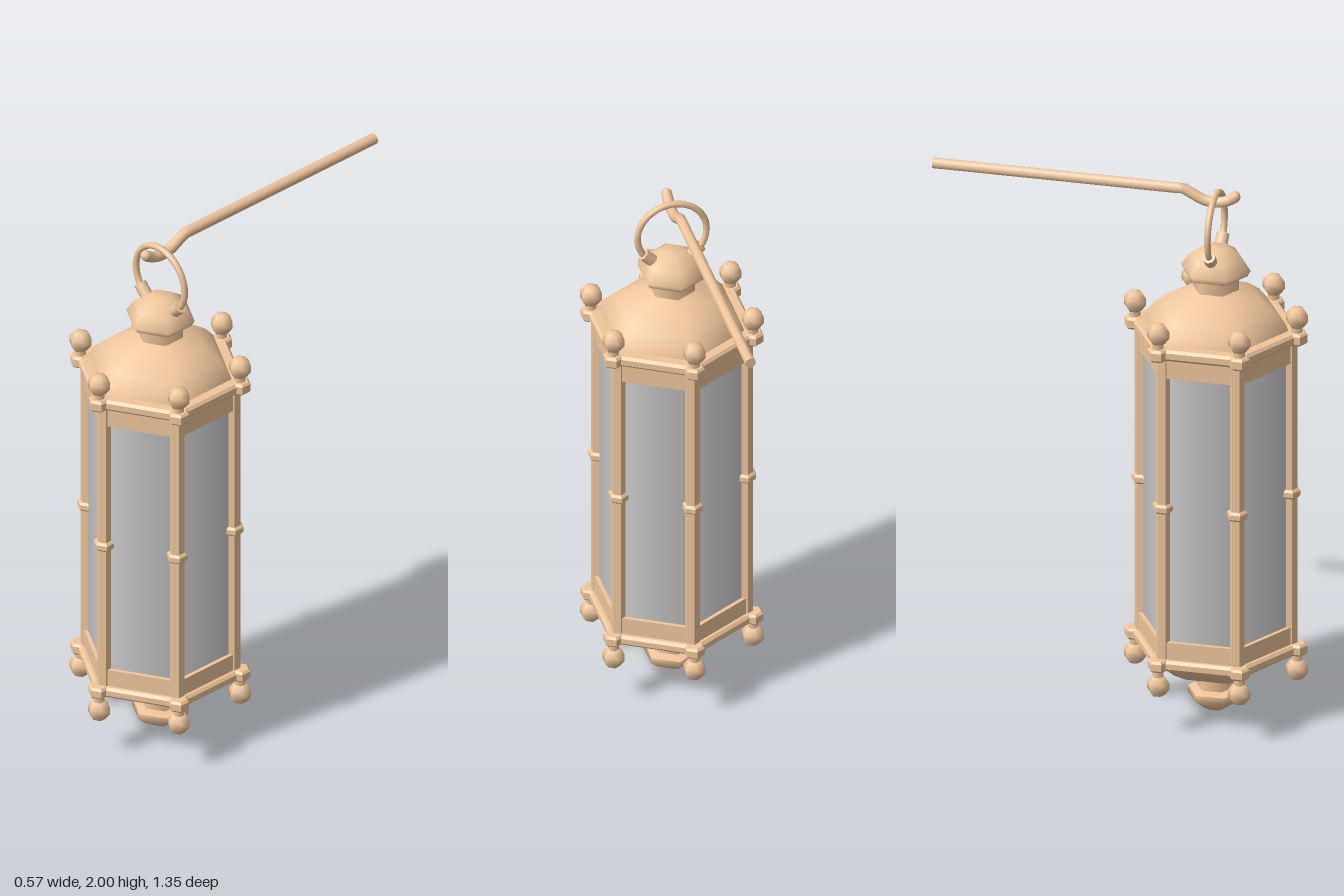
import * as THREE from 'three';

const SIDES = 6;
const metal = new THREE.MeshStandardMaterial({ color: 0xf0c69c });
const metalFlat = new THREE.MeshStandardMaterial({ color: 0xf0c69c, flatShading: true });
const glassMat = new THREE.MeshStandardMaterial({ color: 0xcccccc });

function add(parent, name, geometry, material = metal) {
  const mesh = new THREE.Mesh(geometry, material);
  mesh.name = name;
  parent.add(mesh);
  return mesh;
}

// Six-sided turned form; profile of [radius, y] from bottom to top
function hexLathe(profile) {
  return new THREE.LatheGeometry(profile.map(([r, y]) => new THREE.Vector2(r, y)), SIDES);
}

// Flat slab with chamfered edges
function slab(r, y0, y1, bevel) {
  return hexLathe([[0, y0], [r - bevel, y0], [r, y0 + bevel], [r, y1 - bevel], [r - bevel, y1], [0, y1]]);
}

export function createModel() {
  const root = new THREE.Group();
  root.name = 'hangingLantern';

  const lantern = new THREE.Group();
  lantern.name = 'lantern';
  lantern.position.z = 0.341;
  root.add(lantern);

  // Glazing and the rails above and below it
  const glass = add(lantern, 'glass', new THREE.CylinderGeometry(0.27, 0.27, 1.05, SIDES, 1, true), glassMat);
  glass.position.y = 0.855;
  for (const [name, y] of [['bottomRail', 0.315], ['topRail', 1.395]]) {
    add(lantern, name, new THREE.CylinderGeometry(0.286, 0.286, 0.07, SIDES), metalFlat).position.y = y;
  }

  // Flanges
  add(lantern, 'bottomFlange', slab(0.307, 0.245, 0.285, 0.01), metalFlat);
  add(lantern, 'topFlange', slab(0.307, 1.433, 1.475, 0.01), metalFlat);

  // Roof, neck and cap
  add(lantern, 'roof', hexLathe([[0.262, 1.47], [0.25, 1.5], [0.215, 1.54], [0.16, 1.58], [0.08, 1.615]]));
  add(lantern, 'roofNeck', new THREE.CylinderGeometry(0.083, 0.083, 0.07, SIDES)).position.y = 1.64;
  add(lantern, 'capUnderside', hexLathe([[0, 1.665], [0.113, 1.668]]));
  add(lantern, 'cap', hexLathe([[0.113, 1.668], [0.125, 1.69], [0.095, 1.735], [0.05, 1.766], [0, 1.772]]));

  // Bowl, neck and finial underneath
  add(lantern, 'bowl', hexLathe([[0.07, 0.135], [0.15, 0.16], [0.21, 0.195], [0.245, 0.225], [0.26, 0.25]]));
  add(lantern, 'bowlNeck', new THREE.CylinderGeometry(0.069, 0.069, 0.07, SIDES)).position.y = 0.11;
  add(lantern, 'finial', hexLathe([[0, 0], [0.035, 0.008], [0.075, 0.035], [0.103, 0.06], [0.1, 0.082]]));
  add(lantern, 'finialTop', hexLathe([[0.1, 0.082], [0.068, 0.092], [0, 0.092]]));

  // Corner posts with collars, flange knobs and balls
  for (let i = 0; i < SIDES; i++) {
    const corner = new THREE.Group();
    corner.name = 'corner' + (i + 1);
    corner.rotation.y = (i * Math.PI * 2) / SIDES;
    lantern.add(corner);

    const post = add(corner, 'post', new THREE.CylinderGeometry(0.027, 0.027, 1.17, SIDES), metalFlat);
    post.position.set(0, 0.86, 0.265);

    const collar = add(corner, 'collar', slab(0.038, 0.843, 0.877, 0.008), metalFlat);
    collar.position.z = 0.265;

    for (const [y0, y1, ballY, stemY] of [[0.245, 0.285, 0.185, 0.232], [1.433, 1.475, 1.53, 1.485]]) {
      add(corner, 'flangeKnob', slab(0.038, y0 - 0.001, y1 + 0.001, 0.008), metalFlat).position.z = 0.291;
      add(corner, 'ballStem', new THREE.CylinderGeometry(0.02, 0.02, 0.04, SIDES)).position.set(0, stemY, 0.291);
      const ball = add(corner, 'ball', new THREE.SphereGeometry(0.042, SIDES, 5));
      ball.position.set(0, ballY, 0.291);
      ball.rotation.y = Math.PI / 2;
    }
  }

  // Carrying ring, open at the bottom, held by two lugs
  const ring = add(lantern, 'ring', new THREE.TorusGeometry(0.125, 0.012, 8, 32, Math.PI * 1.5));
  ring.position.y = 1.842;
  ring.rotation.z = -Math.PI / 4;
  for (const side of [-1, 1]) {
    const lug = add(lantern, 'lug', new THREE.CylinderGeometry(0.023, 0.023, 0.06, 8));
    lug.position.set(side * 0.083, 1.753, 0);
    lug.rotation.z = -side * Math.PI / 4;
  }

  // Rod with a hooked end
  const path = new THREE.CurvePath();
  const v = (y, z) => new THREE.Vector3(0, y, z);
  path.add(new THREE.LineCurve3(v(1.98, -0.674), v(1.98, 0.225)));
  path.add(new THREE.CatmullRomCurve3([
    v(1.98, 0.225), v(1.965, 0.255), v(1.945, 0.295), v(1.939, 0.34), v(1.948, 0.38), v(1.968, 0.412),
  ]));
  add(root, 'rod', new THREE.TubeGeometry(path, 60, 0.02, 8));

  // Rod end caps
  const backCap = add(root, 'rodBackCap', new THREE.CircleGeometry(0.02, 8));
  backCap.position.set(0, 1.98, -0.674);
  backCap.rotation.y = Math.PI;
  const tip = add(root, 'hookTip', new THREE.SphereGeometry(0.02, 8, 6));
  tip.position.set(0, 1.968, 0.41);
  tip.scale.setScalar(0.98);

  return root;
}
